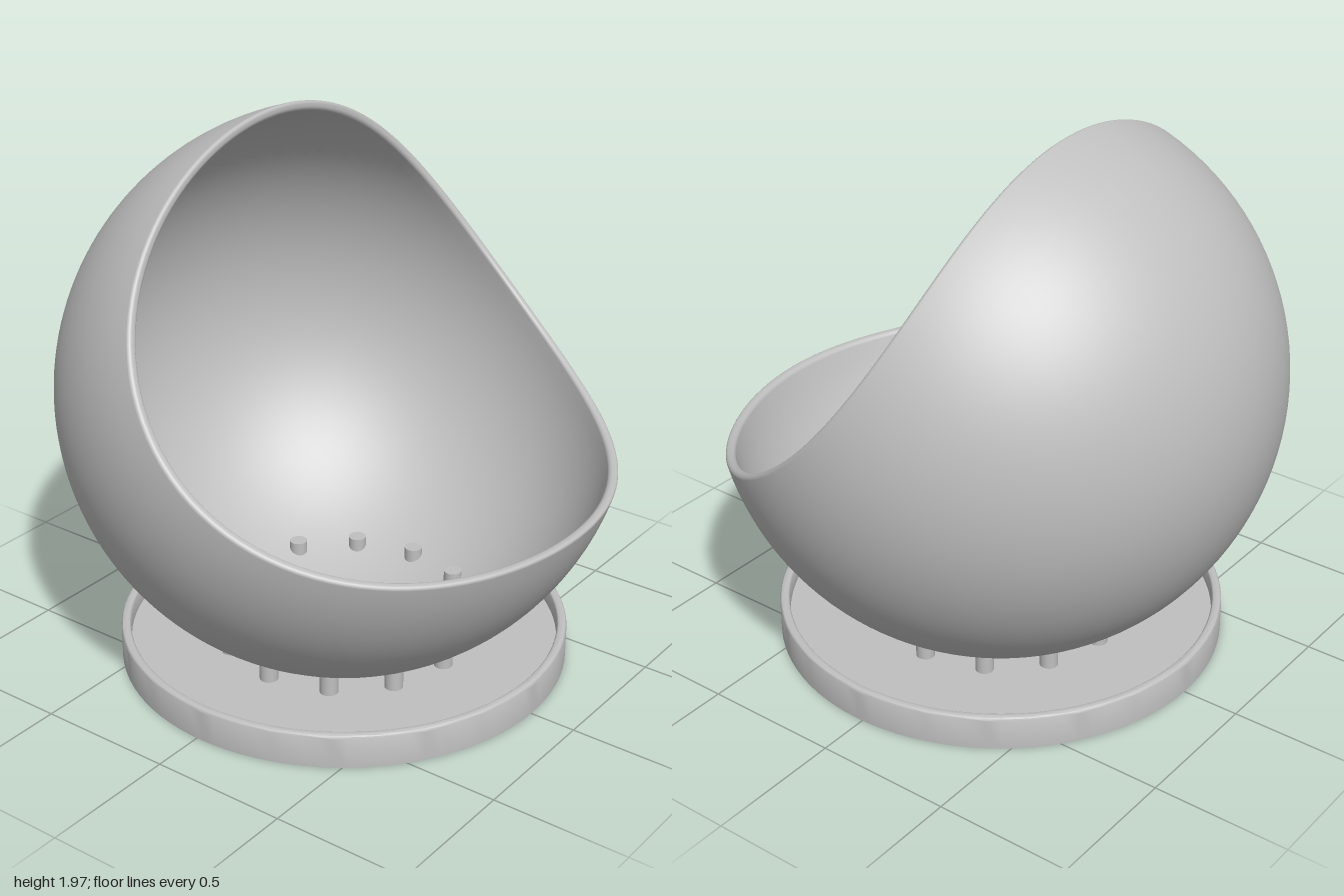
import * as THREE from 'three';
import { toCreasedNormals, mergeVertices } from 'three/addons/utils/BufferGeometryUtils.js';

const CENTRE = new THREE.Vector3(0.02, 1.02, 0); // centre of the spherical bowl
const CUT = new THREE.Vector2(0.95, 1.98);       // axis of the scooped opening (runs along z)
const CUT_R = 1.23, OUTER = 1, INNER = 0.965, FILLET = 0.014;

// Shell rings run from the pole opposite the opening, over the rim, back to the pole inside.
function bowlGeometry() {
  const p = new THREE.Vector3(CENTRE.x - CUT.x, CENTRE.y - CUT.y, 0).normalize();
  const w = new THREE.Vector3(0, 0, 1);
  const u = new THREE.Vector3().crossVectors(w, p);
  const point = (r, theta, phi) => CENTRE.clone()
    .addScaledVector(p, r * Math.cos(theta))
    .addScaledVector(u, r * Math.sin(theta) * Math.cos(phi))
    .addScaledVector(w, r * Math.sin(theta) * Math.sin(phi));

  // Angle from the pole at which a sphere of radius r meets the opening
  const rimAngle = (r, cutR, phi) => {
    let lo = 0, hi = Math.PI;
    for (let k = 0; k < 40; k++) {
      const mid = (lo + hi) / 2, q = point(r, mid, phi);
      if (Math.hypot(q.x - CUT.x, q.y - CUT.y) > cutR) lo = mid; else hi = mid;
    }
    return lo;
  };

  // Section of the wall: [radius, cut radius, fraction of the way to the rim]
  const section = [], steps = 36, arc = 5;
  for (let i = 0; i < steps; i++) section.push([OUTER, CUT_R + FILLET, i / steps]);
  for (let i = 0; i <= arc; i++) {
    const a = (i / arc) * Math.PI / 2;
    section.push([OUTER - FILLET * (1 - Math.cos(a)), CUT_R + FILLET * (1 - Math.sin(a)), 1]);
  }
  for (let i = 0; i <= arc; i++) {
    const a = (i / arc) * Math.PI / 2;
    section.push([INNER + FILLET * (1 - Math.sin(a)), CUT_R + FILLET * (1 - Math.cos(a)), 1]);
  }
  for (let i = steps - 1; i >= 0; i--) section.push([INNER, CUT_R + FILLET, i / steps]);

  const cols = 128, positions = [], index = [];
  section.forEach(([r, cutR, t], i) => {
    for (let j = 0; j < cols; j++) {
      const phi = (j / cols) * Math.PI * 2;
      positions.push(...point(r, rimAngle(r, cutR, phi) * t, phi).toArray());
      if (i === section.length - 1) continue;
      const a = i * cols + j, b = i * cols + (j + 1) % cols;
      index.push(a, a + cols, b + cols, a, b + cols, b);
    }
  });
  const geometry = new THREE.BufferGeometry();
  geometry.setAttribute('position', new THREE.Float32BufferAttribute(positions, 3));
  geometry.setIndex(index);
  const merged = mergeVertices(geometry, 1e-5);
  merged.computeVertexNormals();
  return merged;
}

// Shallow round tray with a rounded lip
function trayGeometry() {
  const R = 0.81, H = 0.125, lip = 0.035, floor = 0.06, f = 0.013;
  const profile = [[0, 0], [R, 0]];
  for (let i = 0; i <= 5; i++) {
    const a = (i / 5) * Math.PI / 2;
    profile.push([R - f + f * Math.cos(a), H - f + f * Math.sin(a)]);
  }
  for (let i = 0; i <= 5; i++) {
    const a = (i / 5) * Math.PI / 2;
    profile.push([R - lip + f - f * Math.sin(a), H - f + f * Math.cos(a)]);
  }
  profile.push([R - lip, floor], [0, floor]);
  const lathe = new THREE.LatheGeometry(profile.map(([x, y]) => new THREE.Vector2(x, y)), 96);
  return toCreasedNormals(lathe, 0.6);
}

export function createModel() {
  const model = new THREE.Group();
  model.name = 'scoopedBowlOnTray';
  const grey = new THREE.MeshStandardMaterial({ color: 0xbfbfbf });
  grey.name = 'grey';

  const add = (geometry, name, x, y, z, parent = model) => {
    const mesh = new THREE.Mesh(geometry, grey);
    mesh.name = name;
    mesh.position.set(x, y, z);
    parent.add(mesh);
  };

  add(bowlGeometry(), 'bowl', 0, 0, 0);
  add(trayGeometry(), 'tray', CENTRE.x, 0, 0);

  // Ring of pegs passing through the bottom of the bowl
  const pegs = new THREE.Group();
  pegs.name = 'pegs';
  model.add(pegs);
  const pegGeometry = new THREE.CylinderGeometry(0.033, 0.033, 0.14, 24);
  for (let i = 0; i < 12; i++) {
    const a = (i / 12) * Math.PI * 2;
    add(pegGeometry, 'peg', CENTRE.x + 0.44 * Math.cos(a), 0.125, 0.44 * Math.sin(a), pegs);
  }
  return model;
}
